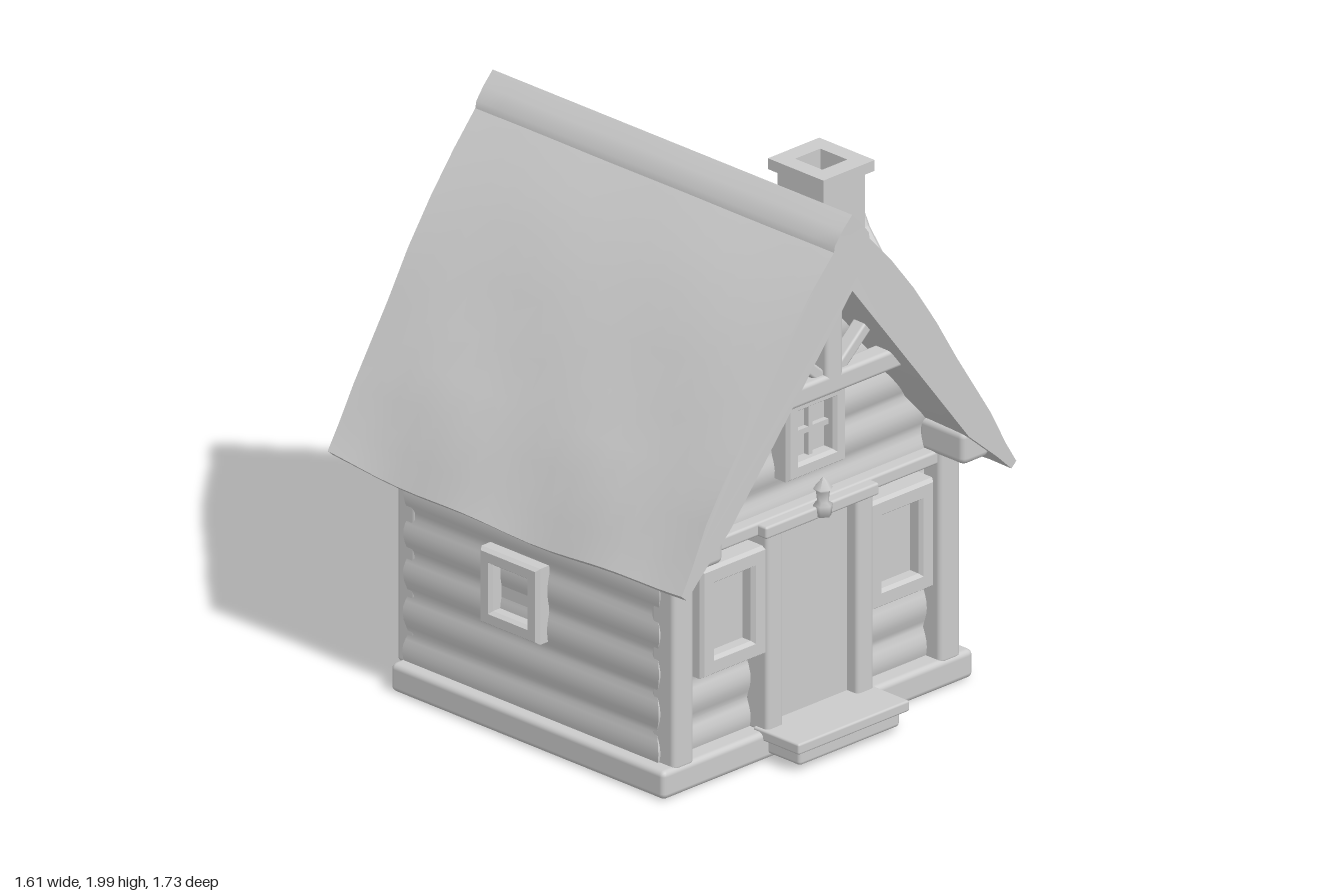
import * as THREE from 'three';
import { toCreasedNormals } from 'three/addons/utils/BufferGeometryUtils.js';
import { RoundedBoxGeometry } from 'three/addons/geometries/RoundedBoxGeometry.js';

const mat = new THREE.MeshStandardMaterial({ color: 0xcccccc, side: THREE.DoubleSide });

function add(parent, name, geometry, x = 0, y = 0, z = 0) {
  const mesh = new THREE.Mesh(geometry, mat);
  mesh.name = name;
  mesh.position.set(x, y, z);
  parent.add(mesh);
  return mesh;
}

// Soft-edged beam between min and max corners
function beam(parent, name, x0, x1, y0, y1, z0, z1) {
  const w = x1 - x0, h = y1 - y0, d = z1 - z0;
  const g = new RoundedBoxGeometry(w, h, d, 2, Math.min(w, h, d) * 0.2);
  return add(parent, name, g, (x0 + x1) / 2, (y0 + y1) / 2, (z0 + z1) / 2);
}

function polygon(points) {
  return new THREE.Shape(points.map(([x, y]) => new THREE.Vector2(x, y)));
}

const rect = (w, h) => polygon([[-w / 2, -h / 2], [w / 2, -h / 2], [w / 2, h / 2], [-w / 2, h / 2]]);

// Framed opening facing +z, with a recessed pane
function windowUnit(name, w, h, frame, cross) {
  const g = new THREE.Group();
  g.name = name;
  const shape = rect(w - 0.02, h - 0.02);
  shape.holes.push(rect(w - 2 * frame, h - 2 * frame));
  add(g, 'windowFrame', new THREE.ExtrudeGeometry(shape, {
    depth: 0.07, bevelSize: 0.01, bevelThickness: 0.015, bevelSegments: 1 }));
  add(g, 'windowPane', new THREE.BoxGeometry(w - frame, h - frame, 0.02), 0, 0, 0.02);
  if (cross) {
    add(g, 'mullion', new THREE.BoxGeometry(0.02, h - frame, 0.03), 0, 0, 0.035);
    add(g, 'transom', new THREE.BoxGeometry(w - frame, 0.02, 0.03), 0, 0, 0.035);
  }
  return g;
}

// Half width of the wall at a height: straight, then tucked inside the roof
function halfWidth(y) {
  return y < 0.9 ? 0.685 - 0.01 * y : 0.66 * (1.8 - y) / 0.9;
}

// Log walls: stacked rectangular rings whose outset follows round logs
function logWalls() {
  const pos = [], index = [], rows = 70, y0 = 0.08, y1 = 1.74, log = 0.145;
  for (let i = 0; i <= rows; i++) {
    const y = y0 + (y1 - y0) * i / rows;
    const bulge = 0.02 * Math.abs(Math.sin(Math.PI * (y - y0) / log));
    const x = halfWidth(y) + bulge * 0.6;
    const front = 0.61 + bulge, back = -0.575 - bulge;
    pos.push(-x, y, front, x, y, front, x, y, back, -x, y, back);
    if (i === 0) continue;
    for (let k = 0; k < 4; k++) {
      const a = (i - 1) * 4 + k, b = (i - 1) * 4 + (k + 1) % 4;
      index.push(a, b, b + 4, a, b + 4, a + 4);
    }
  }
  const g = new THREE.BufferGeometry();
  g.setAttribute('position', new THREE.Float32BufferAttribute(pos, 3));
  g.setIndex(index);
  return toCreasedNormals(g, 0.9);
}

// Thick gabled roof with a ridge roll, flared eaves and a slight sag
function roofGeometry() {
  const half = [[0.045, 1.955], [0.08, 1.91], [0.085, 1.885], [0.19, 1.77], [0.3, 1.63], [0.41, 1.47],
    [0.51, 1.31], [0.6, 1.175], [0.68, 1.05], [0.75, 0.91], [0.8, 0.82], [0.775, 0.8],
    [0.71, 0.87], [0.57, 1.0], [0.32, 1.32]];
  const outline = [[0, 2], ...half, [0, 1.72], ...half.map(([x, y]) => [-x, y]).reverse()];
  const g = new THREE.ExtrudeGeometry(polygon(outline), { depth: 1.72, steps: 16, bevelEnabled: false });
  g.translate(0, 0, -0.86);
  const p = g.attributes.position;
  for (let i = 0; i < p.count; i++) {
    const x = p.getX(i), y = p.getY(i), z = p.getZ(i);
    const low = Math.min(1, Math.abs(x) / 0.8);
    const ripple = 0.008 * low * Math.sin(z * 9 + y * 7 + x * 3);
    const sag = low ** 4 * (0.03 * (z / 0.86) ** 2 - 0.01);
    p.setXYZ(i, x + Math.sign(x) * ripple * 0.5, y + ripple + sag, z * (1 - 0.02 * low));
  }
  return toCreasedNormals(g, 0.5);
}

export function createModel() {
  const house = new THREE.Group();
  house.name = 'logCabin';

  // Plinth, walls and roof
  beam(house, 'plinth', -0.74, 0.74, 0.015, 0.12, -0.61, 0.7);
  add(house, 'logWalls', logWalls());
  add(house, 'roof', roofGeometry());

  // Corner posts with bracket blocks beneath the eaves
  for (const s of [-1, 1]) {
    const cx = s * 0.635;
    beam(house, 'frontPost', cx - 0.05, cx + 0.05, 0.1, 0.93, 0.58, 0.695);
    beam(house, 'backPost', cx - 0.05, cx + 0.05, 0.1, 0.93, -0.635, -0.54);
    beam(house, 'frontBracket', cx - 0.065, cx + 0.065, 0.88, 1.0, 0.6, 0.82);
    beam(house, 'backBracket', cx - 0.065, cx + 0.065, 0.88, 1.0, -0.82, -0.56);
  }
  beam(house, 'frontTieBeam', -0.6, 0.6, 0.84, 0.89, 0.6, 0.68);

  // Gable trusses and upper windows, front and back
  for (const s of [1, -1]) {
    const gable = new THREE.Group();
    gable.name = s > 0 ? 'frontGable' : 'backGable';
    beam(gable, 'collarBeam', -0.34, 0.34, 1.315, 1.39, 0.7, 0.78);
    beam(gable, 'kingPost', -0.04, 0.04, 1.36, 1.76, 0.7, 0.78);
    for (const side of [-1, 1]) {
      const brace = add(gable, 'brace', new RoundedBoxGeometry(0.27, 0.045, 0.06, 2, 0.01), side * 0.13, 1.46, 0.73);
      brace.rotation.z = side * 0.72;
    }
    const upper = windowUnit('upperWindow', 0.28, 0.3, 0.045, true);
    upper.position.set(0, 1.15, 0.61);
    gable.add(upper);
    gable.rotation.y = s > 0 ? 0 : Math.PI;
    if (s < 0) gable.position.z = 0.02;
    house.add(gable);
  }

  // Ground floor windows
  for (const s of [-1, 1]) {
    const front = windowUnit('frontWindow', 0.31, 0.4, 0.055, false);
    front.position.set(s * 0.4, 0.605, 0.615);
    house.add(front);
    const side = windowUnit('sideWindow', 0.28, 0.28, 0.045, false);
    side.position.set(s * 0.655, 0.54, -0.045);
    side.rotation.y = s * Math.PI / 2;
    house.add(side);
    // Doorway jambs
    beam(house, 'doorJamb', s * 0.215 - 0.04, s * 0.215 + 0.04, 0.11, 0.86, 0.6, 0.71);
  }

  // Door, lintel and step
  beam(house, 'door', -0.185, 0.185, 0.11, 0.85, 0.6, 0.66);
  beam(house, 'doorLintel', -0.27, 0.27, 0.84, 0.885, 0.6, 0.72);
  beam(house, 'stepBase', -0.24, 0.24, 0.035, 0.105, 0.65, 0.85);
  beam(house, 'stepTread', -0.265, 0.265, 0.09, 0.13, 0.65, 0.87);

  // Lantern over the door
  const lantern = [[0, 0.84], [0.03, 0.85], [0.035, 0.89], [0.02, 0.9], [0.025, 0.94], [0.035, 0.95], [0, 0.99]];
  add(house, 'lantern', new THREE.LatheGeometry(lantern.map(([r, y]) => new THREE.Vector2(r, y)), 6), 0, 0, 0.72);

  // Chimney: gabled breast on the roof slope, shaft and hollow cap
  const breast = polygon([[-0.06, 1.06], [0.4, 1.06], [0.44, 1.31], [0.24, 1.55], [0.18, 1.67], [0.11, 1.52], [-0.09, 1.3]]);
  const breastGeometry = new THREE.ExtrudeGeometry(breast, {
    depth: 0.29, bevelSize: 0.01, bevelThickness: 0.015, bevelSegments: 1 });
  breastGeometry.rotateY(-Math.PI / 2);
  add(house, 'chimneyBreast', breastGeometry, 0.685, 0, 0);

  function tube(name, w, d, y0, y1) {
    const shape = rect(w, d);
    shape.holes.push(rect(0.12, 0.13));
    const g = new THREE.ExtrudeGeometry(shape, { depth: y1 - y0, bevelEnabled: false });
    g.rotateX(-Math.PI / 2);
    add(house, name, g, 0.52, y0, 0.19);
  }
  tube('chimneyShaft', 0.2, 0.22, 1.2, 1.81);
  tube('chimneyCap', 0.245, 0.265, 1.795, 1.835);
  add(house, 'flueFloor', new THREE.BoxGeometry(0.14, 0.02, 0.15), 0.52, 1.74, 0.19);

  return house;
}
